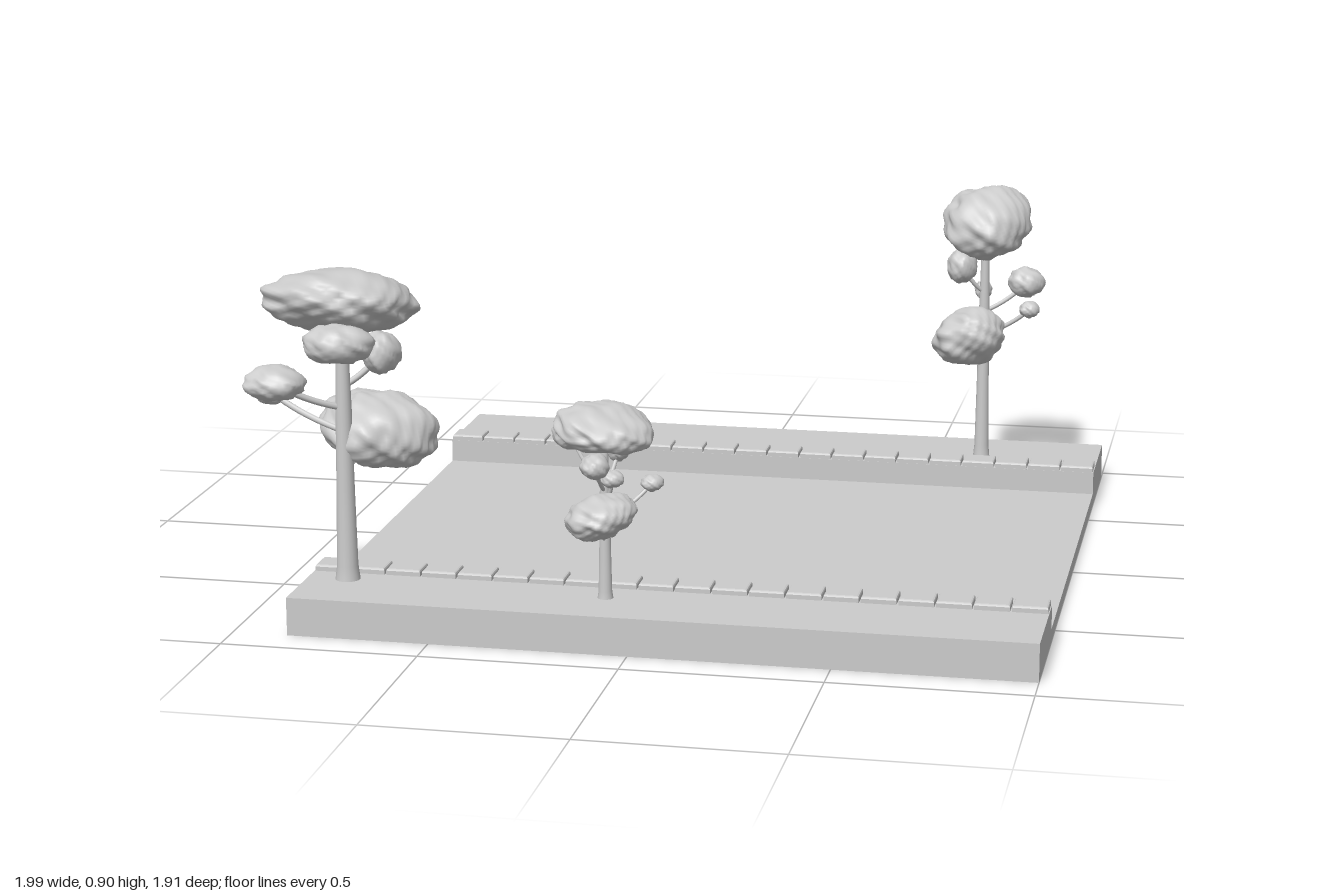
import * as THREE from 'three';
import { mergeVertices } from 'three/addons/utils/BufferGeometryUtils.js';

const material = new THREE.MeshStandardMaterial({ color: 0xcccccc });
const X0 = -0.86, X1 = 1.0, BACK = -0.955, FRONT = 0.905;
const ROAD_TOP = 0.035, WALK_TOP = 0.097;

function add(parent, name, geometry, x = 0, y = 0, z = 0) {
  const mesh = new THREE.Mesh(geometry, material);
  mesh.name = name;
  mesh.position.set(x, y, z);
  parent.add(mesh);
  return mesh;
}

function rectPoints(cx, cy, w, h) {
  return [[-1, -1], [1, -1], [1, 1], [-1, 1]].map(
    ([sx, sy]) => new THREE.Vector2(cx + sx * w / 2, cy + sy * h / 2));
}

// Extrudes a plan in x and z downwards from y = 0
function slab(shape, options) {
  return new THREE.ExtrudeGeometry(shape, options).rotateX(Math.PI / 2);
}

// Lumpy leaf cluster: a sphere pushed in and out by layered waves
function leafGeometry(seed, detail) {
  let g = new THREE.IcosahedronGeometry(1, detail);
  g.deleteAttribute('uv');
  g.deleteAttribute('normal');
  g = mergeVertices(g, 1e-4);
  const p = g.attributes.position, v = new THREE.Vector3();
  for (let i = 0; i < p.count; i++) {
    v.fromBufferAttribute(p, i);
    const a = Math.sin(3.1 * v.x + seed) * Math.sin(2.7 * v.z + 1.7 * seed);
    const b = Math.sin(6.3 * v.x + 4 * v.y + 2.3 * seed) * Math.cos(5.7 * v.z - 3 * v.y + seed);
    const c = Math.sin(13 * v.x - 9 * v.z + seed) * Math.sin(11 * v.y + 8 * v.z + 3 * seed);
    v.multiplyScalar(0.98 + 0.06 * a + 0.06 * b + 0.035 * c);
    p.setXYZ(i, v.x, v.y, v.z);
  }
  g.computeVertexNormals();
  return g;
}

// Tapered trunk with a flared foot, thin curved branches and leaf clusters
// Each cluster: [x, y, z, radiusX, radiusY, radiusZ, tiltX, tiltZ]
function tree(name, x, z, radius, height, clusters, seed) {
  const group = new THREE.Group();
  group.name = name;
  const profile = [[1.2, 0], [1, 0.06], [0.85, 0.35], [0.75, 0.65], [0.5, 1]].map(
    ([r, t]) => new THREE.Vector2(r * radius, WALK_TOP - 0.005 + t * (height - WALK_TOP)));
  add(group, 'trunk', new THREE.LatheGeometry(profile, 16), x, 0, z);
  clusters.forEach(([cx, cy, cz, rx, ry, rz, tiltX = 0, tiltZ = 0], i) => {
    const big = rx > 0.085;
    const leaves = add(group, big ? 'canopy' : 'leafCluster',
      leafGeometry(seed + i * 1.9, big ? 11 : 7), cx, cy, cz);
    leaves.scale.set(rx, ry, rz);
    leaves.rotation.set(tiltX, 0, tiltZ);
    const reach = Math.hypot(cx - x, cz - z);
    if (reach > 0.02 && cy < height + 0.08) {
      const startY = Math.max(0.2, Math.min(cy - 0.08, height - 0.12));
      const curve = new THREE.QuadraticBezierCurve3(
        new THREE.Vector3(x, startY, z),
        new THREE.Vector3(x + (cx - x) * 0.6, startY + (cy - startY) * 0.35, z + (cz - z) * 0.6),
        new THREE.Vector3(cx, cy, cz));
      add(group, 'branch', new THREE.TubeGeometry(curve, 10, radius * 0.3, 8));
    }
  });
  return group;
}

export function createModel() {
  const model = new THREE.Group();
  const cx = (X0 + X1) / 2, width = X1 - X0;

  // Road plate with four square sockets underneath, below the kerbs
  const plan = new THREE.Shape(rectPoints(cx, (FRONT + BACK) / 2, width, FRONT - BACK));
  for (const hx of [-0.73, 0.86]) {
    for (const hz of [-0.685, 0.632]) {
      plan.holes.push(new THREE.Path(rectPoints(hx, hz, 0.09, 0.06)));
    }
  }
  add(model, 'road', slab(plan, { depth: ROAD_TOP, bevelEnabled: false }), 0, ROAD_TOP, 0);

  // Raised pavements, front and back
  for (const [name, z0, z1] of [['frontPavement', 0.597, FRONT], ['backPavement', BACK, -0.645]]) {
    add(model, name, new THREE.BoxGeometry(width, WALK_TOP - ROAD_TOP, z1 - z0),
      cx, (WALK_TOP + ROAD_TOP) / 2, (z0 + z1) / 2);
  }

  // Kerb stones with softened top edges
  const count = 20, pitch = width / count, bevel = 0.005;
  const stone = slab(new THREE.Shape(rectPoints(0, 0, pitch - 0.005 - 2 * bevel, 0.074 - 2 * bevel)),
    { depth: 0.014, bevelThickness: bevel, bevelSize: bevel, bevelSegments: 2 });
  for (const [name, z] of [['frontKerb', 0.635], ['backKerb', -0.683]]) {
    const kerb = new THREE.Group();
    kerb.name = name;
    for (let i = 0; i < count; i++) {
      add(kerb, 'kerbStone', stone, X0 + (i + 0.5) * pitch, 0.113 - bevel, z);
    }
    model.add(kerb);
  }

  // Trees
  model.add(tree('largeTree', -0.757, 0.72, 0.027, 0.78, [
    [-0.76, 0.81, 0.72, 0.2, 0.08, 0.19, -0.22, 0],
    [-0.70, 0.465, 0.615, 0.15, 0.085, 0.125, 0.25, -0.25],
    [-0.72, 0.74, 0.875, 0.085, 0.05, 0.07],
    [-0.67, 0.675, 0.675, 0.05, 0.055, 0.058],
    [-0.90, 0.62, 0.82, 0.08, 0.043, 0.07],
    [-0.955, 0.56, 0.68, 0.04, 0.03, 0.045],
  ], 1));
  model.add(tree('smallTree', -0.087, 0.75, 0.017, 0.5, [
    [-0.085, 0.53, 0.75, 0.12, 0.055, 0.115, 0.1, -0.15],
    [-0.085, 0.32, 0.80, 0.09, 0.053, 0.095, 0, 0.25],
    [0.015, 0.375, 0.67, 0.03, 0.02, 0.03],
    [-0.18, 0.505, 0.72, 0.045, 0.04, 0.05],
    [-0.095, 0.45, 0.82, 0.035, 0.032, 0.045],
    [-0.06, 0.41, 0.78, 0.028, 0.022, 0.03],
    [-0.07, 0.455, 0.665, 0.03, 0.03, 0.035],
  ], 4));
  model.add(tree('backTree', 0.67, -0.77, 0.02, 0.74, [
    [0.672, 0.775, -0.785, 0.13, 0.092, 0.135, 0.3, 0.08],
    [0.63, 0.45, -0.74, 0.105, 0.08, 0.11, -0.25, 0.35],
    [0.665, 0.715, -0.89, 0.06, 0.047, 0.065],
    [0.61, 0.655, -0.735, 0.04, 0.05, 0.05],
    [0.785, 0.6, -0.81, 0.052, 0.043, 0.05],
    [0.80, 0.535, -0.75, 0.03, 0.023, 0.03],
    [0.66, 0.57, -0.83, 0.025, 0.028, 0.03],
  ], 8));
  return model;
}
